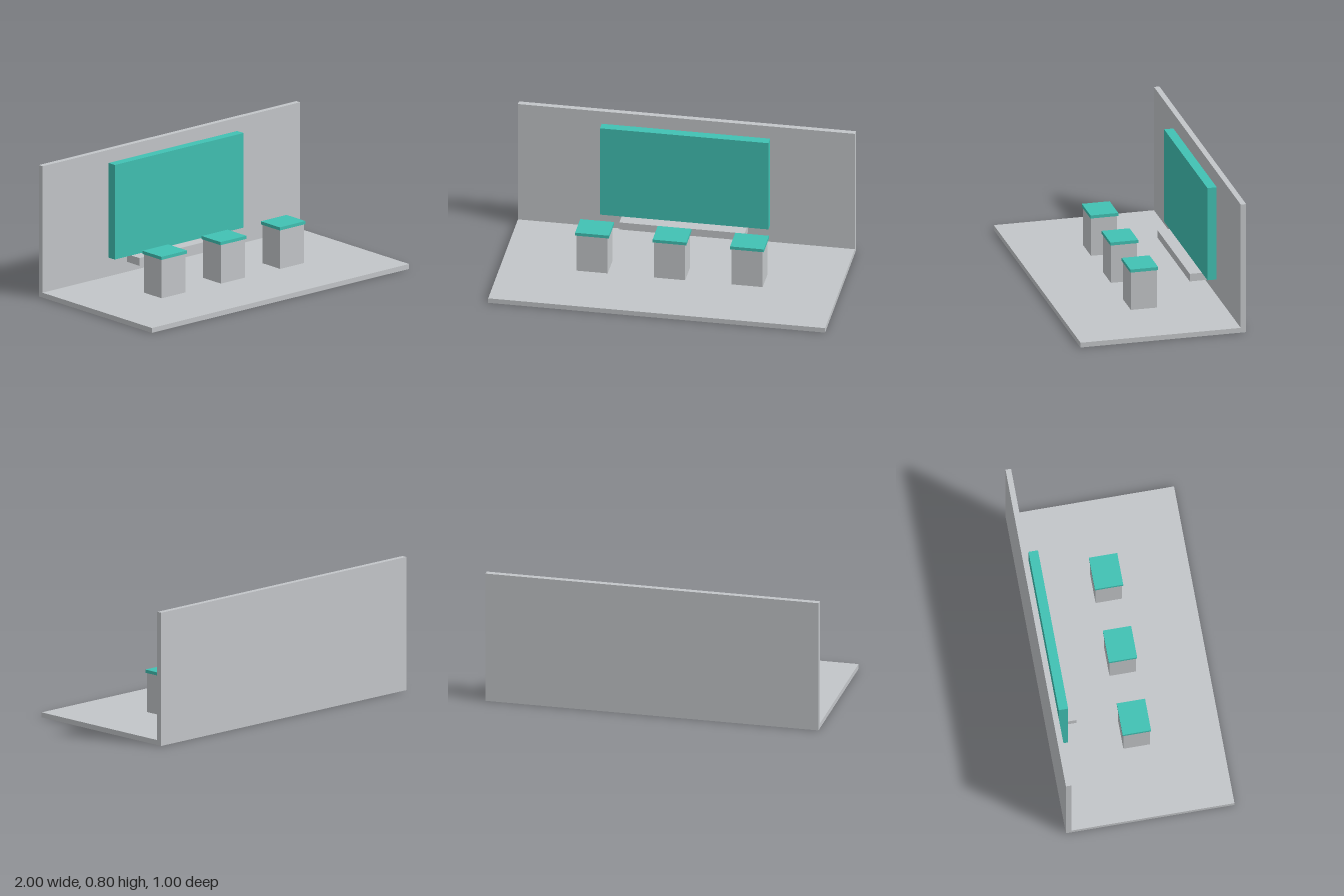
import * as THREE from 'three';

export function createModel() {
  const model = new THREE.Group();
  model.name = 'mediaRoom';

  const grey = new THREE.MeshStandardMaterial({ color: 0xc3c6c9 });
  grey.name = 'light grey';
  const teal = new THREE.MeshStandardMaterial({ color: 0x41c1b3 });
  teal.name = 'teal';

  // Box given by its [min, max] range on each axis
  function addBox(parent, name, material, [x0, x1], [y0, y1], [z0, z1]) {
    const mesh = new THREE.Mesh(new THREE.BoxGeometry(x1 - x0, y1 - y0, z1 - z0), material);
    mesh.position.set((x0 + x1) / 2, (y0 + y1) / 2, (z0 + z1) / 2);
    mesh.name = name;
    parent.add(mesh);
  }

  // Floor slab and back wall
  addBox(model, 'floor', grey, [-1, 1], [0, 0.03], [-0.5, 0.5]);
  addBox(model, 'backWall', grey, [-1, 1], [0.03, 0.8], [-0.5, -0.467]);

  // Large panel with the ledge below it
  addBox(model, 'wallPanel', teal, [-0.5, 0.5], [0.15, 0.726], [-0.453, -0.397]);
  addBox(model, 'ledge', grey, [-0.372, 0.372], [0.103, 0.15], [-0.434, -0.324]);

  // Row of three pedestals with overhanging tops
  for (const x of [-0.46, 0, 0.46]) {
    const pedestal = new THREE.Group();
    pedestal.name = 'pedestal';
    pedestal.position.x = x;
    addBox(pedestal, 'pedestalBody', grey, [-0.093, 0.093], [0.03, 0.266], [-0.079, 0.079]);
    addBox(pedestal, 'pedestalTop', teal, [-0.1, 0.1], [0.266, 0.285], [-0.084, 0.084]);
    model.add(pedestal);
  }

  return model;
}
